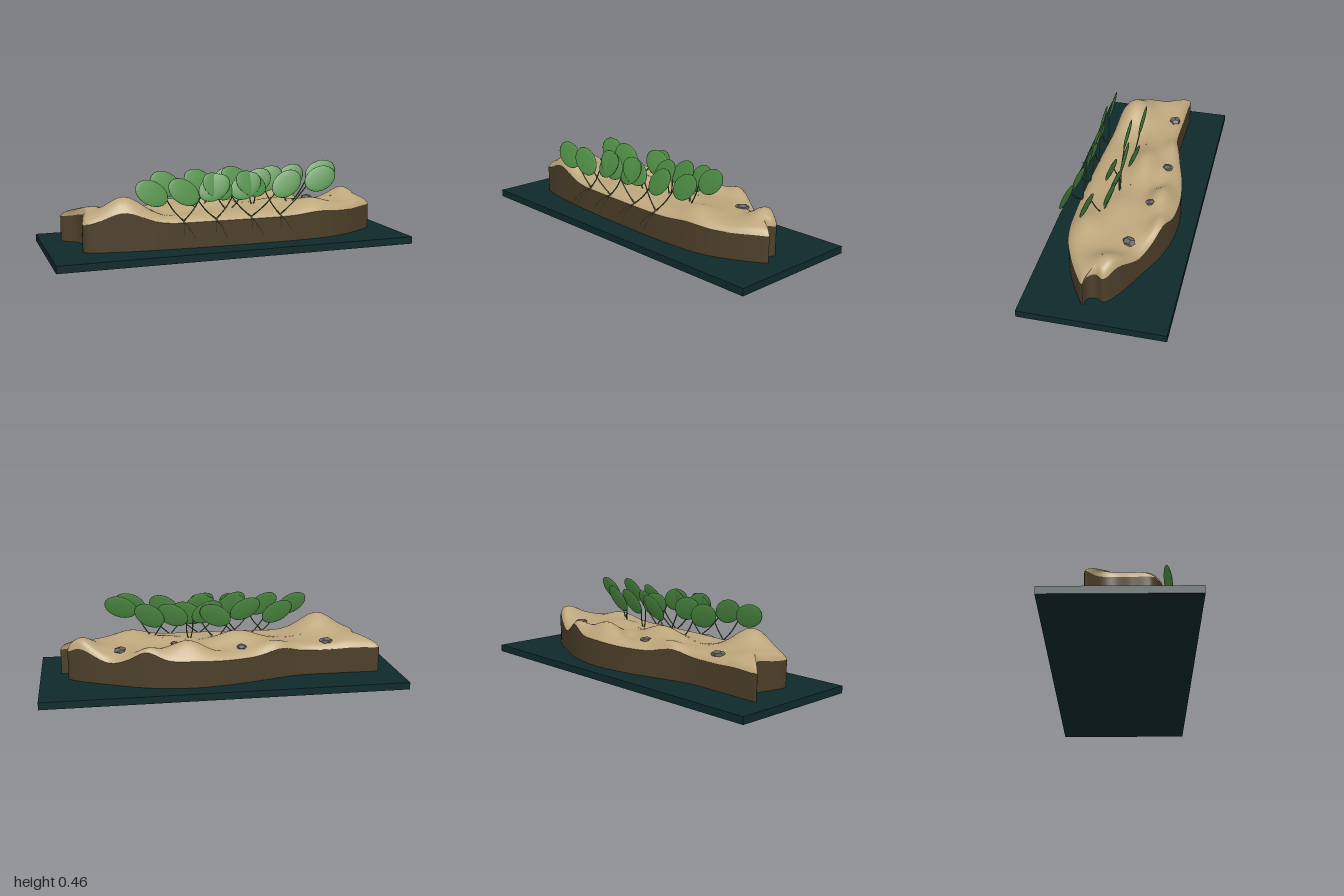
import * as THREE from 'three';
import { toCreasedNormals } from 'three/addons/utils/BufferGeometryUtils.js';

const V = (x, y, z) => new THREE.Vector3(x, y, z);
const mat = (name, color, side = THREE.FrontSide) => {
  const m = new THREE.MeshStandardMaterial({ color, side });
  m.name = name;
  return m;
};

// Outline of the sandbank seen from above, as x, z pairs
const OUTLINE = [
  [-0.89, -0.165], [-0.81, -0.168], [-0.62, -0.165], [-0.42, -0.168], [-0.235, -0.215], [-0.02, -0.268],
  [0.19, -0.288], [0.41, -0.255], [0.62, -0.165], [0.78, -0.085], [0.845, -0.03], [0.825, 0.015],
  [0.84, 0.055], [0.885, 0.067], [0.83, 0.11], [0.7, 0.18], [0.57, 0.228], [0.35, 0.25], [0.03, 0.25],
  [-0.45, 0.226], [-0.72, 0.19], [-0.815, 0.155], [-0.81, 0.06], [-0.788, -0.04], [-0.81, -0.1],
];

// Dunes and hollows: x, z, height, spread in x, spread in z
const DUNES = [
  [-0.6, 0.13, 0.105, 0.13, 0.12], [-0.75, -0.05, 0.025, 0.1, 0.1], [-0.1, -0.04, 0.065, 0.15, 0.08],
  [0.2, -0.19, 0.065, 0.12, 0.07], [0.42, -0.24, 0.06, 0.09, 0.06], [0.76, -0.04, 0.06, 0.08, 0.1],
  [0.48, 0.14, 0.04, 0.11, 0.1], [-0.3, -0.17, 0.035, 0.1, 0.06], [0.05, -0.15, -0.02, 0.08, 0.05],
  [0.3, 0.02, 0.03, 0.12, 0.08], [-0.35, 0.1, -0.015, 0.1, 0.08], [0.6, -0.15, -0.02, 0.07, 0.06],
];
const height = (x, z) => DUNES.reduce(
  (h, [cx, cz, a, sx, sz]) => h + a * Math.exp(-(((x - cx) / sx) ** 2) - ((z - cz) / sz) ** 2), 0.215);

// Skin between closed rings of points
function loft(rings) {
  const n = rings[0].length, idx = [];
  for (let r = 0; r < rings.length - 1; r++) {
    for (let i = 0; i < n; i++) {
      const a = r * n + i, b = r * n + (i + 1) % n;
      idx.push(a, b, a + n, b, b + n, a + n);
    }
  }
  const g = new THREE.BufferGeometry();
  g.setAttribute('position', new THREE.Float32BufferAttribute(rings.flat().flatMap(p => [p.x, p.y, p.z]), 3));
  g.setIndex(idx);
  g.computeVertexNormals();
  return g;
}

export function createModel() {
  const group = new THREE.Group();
  const slabMat = mat('deep teal', 0x0f2a2c);
  const sandMat = mat('sand', 0xbda67c);
  const earthMat = mat('brown earth', 0x4d3f2a);
  const leafMat = mat('leaf green', 0x4f8f45);
  const stemMat = mat('stem green', 0x4c6636);
  const rootMat = mat('pale root', 0x9c8a62);
  const rockMat = mat('grey stone', 0x6a6766);

  const add = (name, geo, m, parent = group) => {
    const mesh = new THREE.Mesh(geo, m);
    mesh.name = name;
    parent.add(mesh);
    return mesh;
  };
  const tube = (name, pts, r, m, parent) =>
    add(name, new THREE.TubeGeometry(new THREE.CatmullRomCurve3(pts), 8, r, 5), m, parent);

  // Base slab
  add('baseSlab', new THREE.BoxGeometry(2, 0.04, 0.77), slabMat).position.y = 0.02;

  // Sandbank: dune surface shrinking to a central spine, and a steep wall
  const curve = new THREE.CatmullRomCurve3(OUTLINE.map(([x, z]) => V(x, 0, z)), true);
  const edge = curve.getPoints(200).slice(0, -1);
  const ring = t => edge.map(p => {
    const sx = THREE.MathUtils.clamp(p.x, -0.72, 0.76);
    const x = sx + (p.x - sx) * t, z = p.z * t;
    return V(x, height(x, z) - 0.035 * t ** 8, z);
  });
  const steps = 20;
  const rings = Array.from({ length: steps + 1 }, (_, k) => ring(k / steps));
  add('sandSurface', loft(rings), sandMat);
  const rim = rings[steps];
  const wall = loft([rim, rim.map(p => V(p.x, 0.04, p.z))]);
  add('earthWall', toCreasedNormals(wall, 0.6), earthMat);

  // Stones half sunk in the sand: x, z, radius, turn
  [[-0.59, -0.12, 0.04, 0.3], [-0.1, -0.17, 0.033, 1.4], [0.265, -0.145, 0.028, 2.2], [0.56, -0.095, 0.04, 0.9]]
    .forEach(([x, z, r, turn]) => {
      const stone = add('stone', new THREE.DodecahedronGeometry(r), rockMat);
      stone.position.set(x, height(x, z) + 0.003, z);
      stone.scale.set(1, 0.45, 0.85);
      stone.rotation.y = turn;
    });

  // Plants: base x, z, has hanging roots, leaves as x, y, z, roll
  const plants = [
    [-0.3, 0.235, true, [[-0.475, 0.35, 0.245, 0.5], [-0.13, 0.36, 0.24, 0.55]]],
    [-0.12, 0.24, true, [[-0.305, 0.35, 0.262, 0.6], [0.05, 0.36, 0.235, 0.6]]],
    [0.08, 0.24, true, [[-0.11, 0.365, 0.235, 0.65], [0.285, 0.36, 0.245, 0.65]]],
    [0.25, 0.24, true, [[0.08, 0.37, 0.235, 0.5], [0.48, 0.38, 0.255, 0.45]]],
    [-0.16, 0.05, false, [[-0.34, 0.36, 0.03, 0.5], [0.02, 0.36, 0.0, 0.55]]],
    [0.0, 0.09, false, [[-0.165, 0.37, 0.08, 0.5], [0.165, 0.355, 0.095, 0.6]]],
    [0.16, 0.05, false, [[0.06, 0.37, 0.045, 0.5], [0.255, 0.36, 0.045, 0.55]]],
    [0.36, 0.1, false, [[0.385, 0.36, 0.05, 0.7], [0.54, 0.395, 0.13, 0.4]]],
  ];
  const blade = new THREE.SphereGeometry(1, 24, 12);
  blade.scale(0.094, 0.066, 0.007);
  plants.forEach(([bx, bz, rooted, leaves], k) => {
    const plant = new THREE.Group();
    plant.name = 'plant';
    group.add(plant);
    const base = V(bx, height(bx, bz) - 0.025, bz);
    leaves.forEach(([x, y, z, roll]) => {
      const s = x < bx ? -1 : 1;
      const leaf = add('leaf', blade, leafMat, plant);
      leaf.position.set(x, y, z);
      leaf.rotation.set(-0.3, -s * 0.14, s * roll, 'YXZ');
      // Stem from the base to the inner tip of the leaf
      const tip = V(-s * 0.09, 0, 0).applyEuler(leaf.rotation).add(leaf.position);
      const mid = base.clone().lerp(tip, 0.5).add(V(s * 0.006, -0.004, 0));
      tube('stem', [base, mid, tip], 0.0035, stemMat, plant);
    });
    // Fine roots hanging out of the bank
    if (rooted) {
      [[-0.028, 0.13, 0.335], [0.004, 0.145, 0.35], [0.026, 0.105, 0.36]].forEach(([dx, y, z], j) => {
        const end = V(bx + dx, y + 0.008 * ((k + j) % 3), z - 0.008 * ((k + j) % 2));
        const mid = base.clone().lerp(end, 0.5).add(V(0, 0.008, 0.004));
        tube('root', [base, mid, end], 0.0015, rootMat, plant);
      });
    }
  });
  return group;
}
